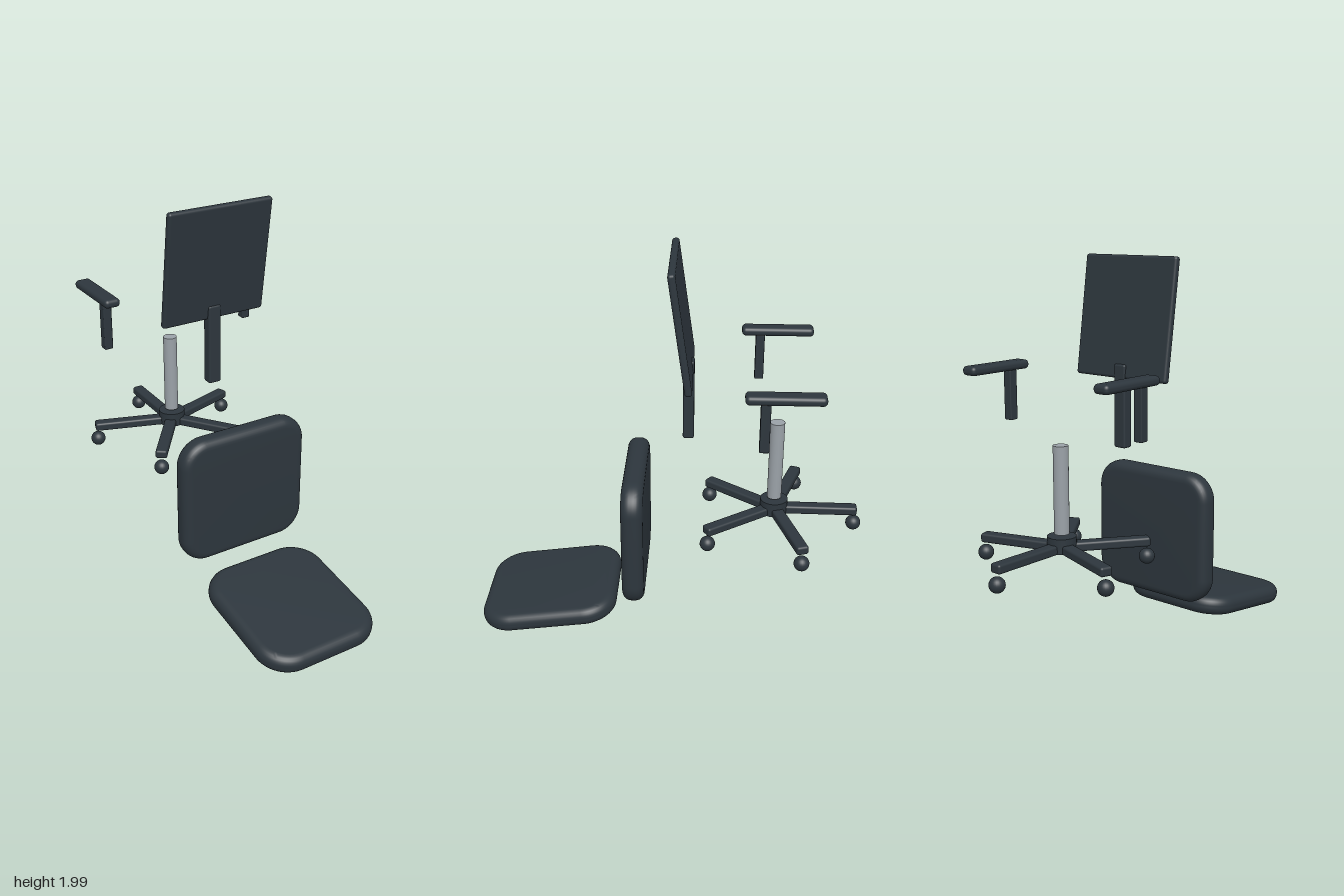
import * as THREE from 'three';
import { toCreasedNormals } from 'three/addons/utils/BufferGeometryUtils.js';
import { RoundedBoxGeometry } from 'three/addons/geometries/RoundedBoxGeometry.js';

const dark = new THREE.MeshStandardMaterial({ color: 0x2d363d });
dark.name = 'charcoal';
const steel = new THREE.MeshStandardMaterial({ color: 0x9aa1a7 });
steel.name = 'steel';

function add(parent, name, geometry, material, x, y, z) {
  const mesh = new THREE.Mesh(geometry, material);
  mesh.name = name;
  mesh.position.set(x, y, z);
  parent.add(mesh);
  return mesh;
}

// Cushion: rounded rectangle in xy, thick along z, with soft rims
function cushion(w, h, thick, corner, rim) {
  const a = w / 2 - rim, b = h / 2 - rim, r = corner - rim;
  const s = new THREE.Shape();
  s.absarc(a - r, b - r, r, 0, Math.PI / 2);
  s.absarc(r - a, b - r, r, Math.PI / 2, Math.PI);
  s.absarc(r - a, r - b, r, Math.PI, Math.PI * 1.5);
  s.absarc(a - r, r - b, r, Math.PI * 1.5, Math.PI * 2);
  s.closePath();
  const g = new THREE.ExtrudeGeometry(s, {
    depth: thick - 2 * rim, bevelEnabled: true, bevelThickness: rim,
    bevelSize: rim, bevelSegments: 6, curveSegments: 10,
  });
  g.translate(0, 0, rim - thick / 2);
  return toCreasedNormals(g, 0.7);
}

export function createModel() {
  const chair = new THREE.Group();
  chair.name = 'explodedOfficeChair';

  // Cushions, laid out in front of the frame
  const seat = add(chair, 'seatCushion', cushion(0.66, 0.725, 0.1, 0.17, 0.045), dark, 0, 0.096, 0.64);
  seat.rotation.x = 0.14 - Math.PI / 2;
  add(chair, 'backCushion', cushion(0.72, 0.69, 0.112, 0.14, 0.045), dark, 0, 0.556, 0.178);

  // Back shell and its support bar
  const shell = add(chair, 'backShell', new RoundedBoxGeometry(0.574, 0.603, 0.036, 3, 0.014), dark, 0, 1.697, -0.057);
  shell.rotation.x = 0.14;
  add(chair, 'backSupport', new RoundedBoxGeometry(0.07, 0.42, 0.056, 3, 0.01), dark, -0.003, 1.26, -0.093);

  // Armrests
  for (const side of [-1, 1]) {
    const arm = new THREE.Group();
    arm.name = side > 0 ? 'leftArmrest' : 'rightArmrest';
    arm.position.x = side * 0.417;
    add(arm, 'armPad', new RoundedBoxGeometry(0.085, 0.045, 0.372, 4, 0.02), dark, 0, 1.465, -0.545);
    add(arm, 'armPost', new RoundedBoxGeometry(0.047, 0.25, 0.047, 2, 0.006), dark, 0, 1.319, -0.455);
    chair.add(arm);
  }

  // Gas column
  add(chair, 'gasColumn', new THREE.CylinderGeometry(0.037, 0.037, 0.43, 32), steel, -0.003, 0.92, -0.542);

  // Five-star base with casters
  const base = new THREE.Group();
  base.name = 'starBase';
  base.position.set(-0.002, 0, -0.542);
  base.rotation.y = -0.013;
  add(base, 'hub', new THREE.CylinderGeometry(0.071, 0.071, 0.075, 32), dark, 0, 0.656, 0);
  for (let i = 0; i < 5; i++) {
    const spoke = new THREE.Group();
    spoke.name = 'spoke' + (i + 1);
    spoke.rotation.y = i * Math.PI * 2 / 5;
    add(spoke, 'leg', new RoundedBoxGeometry(0.062, 0.046, 0.432, 3, 0.012), dark, 0, 0.638, -0.216);
    add(spoke, 'caster', new THREE.SphereGeometry(0.039, 24, 16), dark, 0, 0.56, -0.419);
    base.add(spoke);
  }
  chair.add(base);

  return chair;
}
